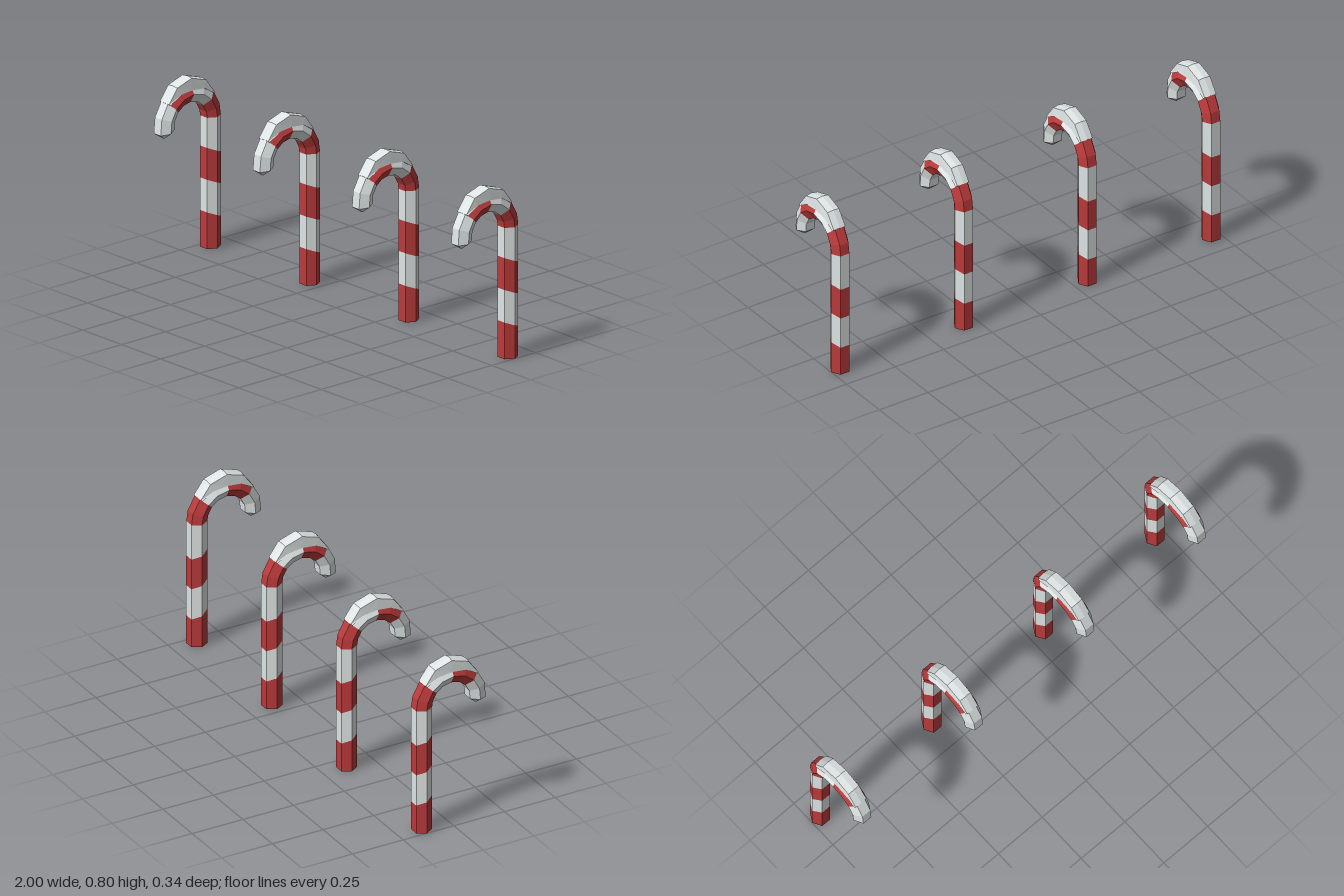
import * as THREE from 'three';

const white = new THREE.MeshStandardMaterial({ color: 0xdfe6e5 });
white.name = 'sugar white';
const red = new THREE.MeshStandardMaterial({ color: 0xbb3a3b });
red.name = 'candy red';

const HEX = 0.045;     // hexagon corner radius
const BEND = 0.133;    // radius of the hook's centre line
const SPRING = 0.593;  // height where the hook starts
const rad = THREE.MathUtils.degToRad;

// Hexagon corners as [sideways x, outward offset]
const hex = Array.from({ length: 6 }, (_, k) => [HEX * Math.cos(k * Math.PI / 3), HEX * Math.sin(k * Math.PI / 3)]);

// Cross-section on the straight stem, slanted down towards the back
const stemRing = (y, slant = 0) => hex.map(([x, u]) => new THREE.Vector3(x, y - slant * u, -BEND - u));

// Cross-section on the hook; points are [x, radius], angle runs from the stem over the top
const bendRing = (deg, pts) => pts.map(([x, r]) =>
  new THREE.Vector3(x, SPRING + r * Math.sin(rad(deg)), -r * Math.cos(rad(deg))));
const hookRing = (deg) => bendRing(deg, hex.map(([x, u]) => [x, BEND + u]));

// A ring shrunk to one point, used to close an end
const point = (n, x, y, z) => Array.from({ length: n }, () => new THREE.Vector3(x, y, z));

// Faceted skin through closed rings
function loft(rings, material, name) {
  const pos = [];
  for (let i = 0; i < rings.length - 1; i++) {
    const n = rings[i].length;
    for (let k = 0; k < n; k++) {
      const j = (k + 1) % n;
      const a = rings[i][k], b = rings[i][j], c = rings[i + 1][j], d = rings[i + 1][k];
      for (const p of [a, b, c, a, c, d]) pos.push(p.x, p.y, p.z);
    }
  }
  const geo = new THREE.BufferGeometry();
  geo.setAttribute('position', new THREE.Float32BufferAttribute(pos, 3));
  geo.computeVertexNormals();
  const mesh = new THREE.Mesh(geo, material);
  mesh.name = name;
  return mesh;
}

function createCane() {
  const cane = new THREE.Group();
  cane.name = 'candyCane';

  // Stem: four bands with slanted borders and a closed foot
  const cuts = [stemRing(0), stemRing(0.15, 0.4), stemRing(0.297, 0.4), stemRing(0.441, 0.4), stemRing(SPRING)];
  for (let i = 0; i < 4; i++) {
    const rings = [cuts[i], cuts[i + 1]];
    if (i === 0) rings.unshift(point(6, 0, 0, -BEND));
    cane.add(loft(rings, i % 2 ? white : red, 'stemBand'));
  }

  // Hook: four bands, the last ending in a blunt point
  const spans = [[0, 17, 41], [41, 65, 90], [90, 115, 139], [139, 163, 187]];
  spans.forEach((span, i) => {
    const rings = span.map(hookRing);
    if (i === 3) rings.push(point(6, 0, 0.545, BEND));
    cane.add(loft(rings, i % 2 ? white : red, 'hookBand'));
  });

  // Snow cap: a raised strip over the hook, thinning out at both ends
  const snow = [[41, 0.165, 0.176], [65, 0.158, 0.199], [90, 0.15, 0.207], [115, 0.158, 0.199], [139, 0.165, 0.176]];
  const rings = snow.map(([deg, low, top]) => bendRing(deg, [
    [0.035, low], [0.03, top - 0.004], [0, top], [-0.03, top - 0.004], [-0.035, low]]));
  const end = (deg) => bendRing(deg, Array(5).fill([0, 0.168]));
  cane.add(loft([end(41), ...rings, end(139)], white, 'snowCap'));
  return cane;
}

export function createModel() {
  const model = new THREE.Group();
  model.name = 'candyCaneRow';
  for (let i = 0; i < 4; i++) {
    const cane = createCane();
    cane.position.x = -0.955 + i * 0.6367;
    model.add(cane);
  }
  return model;
}
